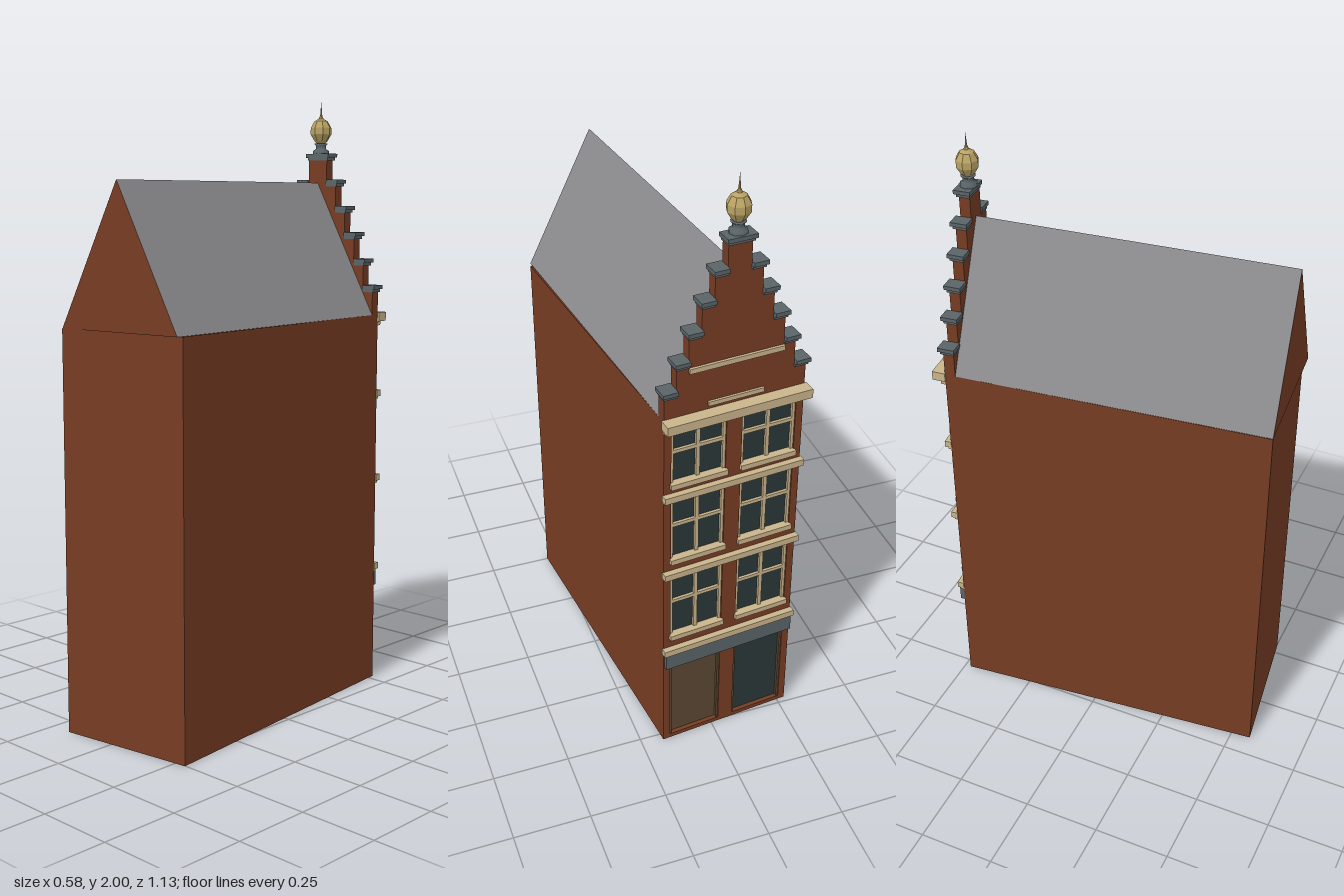
import * as THREE from 'three';

const mat = (name, color, side = THREE.FrontSide) => {
  const m = new THREE.MeshStandardMaterial({ color, side });
  m.name = name;
  return m;
};

export function createModel() {
  const brick = mat('brick', 0x763c23, THREE.DoubleSide);
  const roofGrey = mat('roof grey', 0x8b8b8d, THREE.DoubleSide);
  const slate = mat('slate', 0x5a6468);
  const stone = mat('sandstone', 0xc9b48b);
  const glass = mat('dark glass', 0x2b3739);
  const wood = mat('brown wood', 0x5b4733);
  const gold = mat('gold', 0xb9a263);
  gold.flatShading = true;

  const house = new THREE.Group();
  house.name = 'house';
  const add = (name, geo, material, x = 0, y = 0, z = 0) => {
    const m = new THREE.Mesh(geo, material);
    m.name = name;
    m.position.set(x, y, z);
    house.add(m);
    return m;
  };
  // Box given by its extents
  const box = (name, material, x0, x1, y0, y1, z0, z1) =>
    add(name, new THREE.BoxGeometry(x1 - x0, y1 - y0, z1 - z0), material,
      (x0 + x1) / 2, (y0 + y1) / 2, (z0 + z1) / 2);
  // Flat polygon fan from a few corners
  const panel = (name, material, ...pts) => {
    const g = new THREE.BufferGeometry();
    g.setAttribute('position', new THREE.Float32BufferAttribute(pts.flat(), 3));
    const idx = [];
    for (let i = 1; i < pts.length - 1; i++) idx.push(0, i, i + 1);
    g.setIndex(idx);
    g.computeVertexNormals();
    return add(name, g, material);
  };

  const W = 0.229, EAVE = 1.28, RIDGE = 1.725;
  const FACE = -0.505, INNER = -0.47, REAR = 0.545;

  // Side and rear walls, open underneath
  const plan = [[-W, INNER], [-0.2305, REAR], [0.2355, 0.528], [W, INNER]];
  ['rightWall', 'rearWall', 'leftWall'].forEach((name, i) => {
    const [a, b] = [plan[i], plan[i + 1]];
    panel(name, brick, [a[0], 0, a[1]], [b[0], 0, b[1]], [b[0], EAVE, b[1]], [a[0], EAVE, a[1]]);
  });
  panel('rearGable', brick, [-W, EAVE, REAR], [W, EAVE, REAR], [0, RIDGE, REAR]);

  // Roof slopes
  panel('rightRoof', roofGrey, [-W, EAVE, INNER], [-W, EAVE, REAR], [0, RIDGE, REAR], [0, RIDGE, INNER]);
  panel('leftRoof', roofGrey, [W, EAVE, REAR], [W, EAVE, INNER], [0, RIDGE, INNER], [0, RIDGE, REAR]);

  // Stepped facade with openings
  const halves = [W, 0.19, 0.152, 0.113, 0.075, 0.037];
  const tops = halves.map((_, i) => 1.367 + 0.0888 * i);
  const right = [[W, 0]];
  halves.forEach((h, i) => {
    if (i) right.push([h, tops[i - 1]]);
    right.push([h, tops[i]]);
  });
  const outline = [...right, ...right.map(([x, y]) => [-x, y]).reverse()];
  const facade = new THREE.Shape(outline.map(([x, y]) => new THREE.Vector2(x, y)));
  const rows = [[0.455, 0.69], [0.765, 0.985], [1.05, 1.245]];
  const openings = [[0.015, 0.325], ...rows];
  const IN = 0.026, OUT = 0.205;
  for (const s of [-1, 1]) {
    for (const [y0, y1] of openings) {
      const [a, b] = s > 0 ? [IN, OUT] : [-OUT, -IN];
      facade.holes.push(new THREE.Path([[a, y0], [a, y1], [b, y1], [b, y0]]
        .map(([x, y]) => new THREE.Vector2(x, y))));
    }
  }
  add('facade', new THREE.ExtrudeGeometry(facade, { depth: INNER - FACE, bevelEnabled: false }), brick, 0, 0, FACE);

  for (const s of [-1, 1]) {
    const [a, b] = s > 0 ? [IN, OUT] : [-OUT, -IN];
    const mid = (a + b) / 2;

    // Windows: glass, frame, mullion, transom and sill
    for (const [y0, y1] of rows) {
      const t = 0.009, z0 = FACE + 0.005, z1 = FACE + 0.018, yc = y0 + (y1 - y0) * 0.58;
      box('windowGlass', glass, a, b, y0, y1, FACE + 0.014, FACE + 0.02);
      box('windowFrame', stone, a, a + t, y0, y1, z0, z1);
      box('windowFrame', stone, b - t, b, y0, y1, z0, z1);
      box('windowFrame', stone, a, b, y1 - t, y1, z0, z1);
      box('windowMullion', stone, mid - 0.006, mid + 0.006, y0, y1, z0, z1);
      box('windowTransom', stone, a, b, yc - 0.006, yc + 0.006, z0, z1);
      box('windowSill', stone, a - 0.004, b + 0.004, y0 - 0.012, y0 + 0.006, FACE - 0.012, z1);
    }

    // Ground floor: wooden door on one side, shop window on the other
    const fill = s > 0 ? wood : glass;
    box(s > 0 ? 'door' : 'shopWindow', fill, a, b, 0.015, 0.325, FACE + 0.014, FACE + 0.02);
    for (const x of [a, b - 0.007])
      box('openingFrame', wood, x, x + 0.007, 0.015, 0.325, FACE + 0.004, FACE + 0.018);
  }

  // Horizontal bands, sign board and main cornice
  box('signBoard', slate, -0.226, 0.226, 0.33, 0.387, FACE - 0.016, FACE);
  for (const y of [0.4, 0.715, 1.01]) {
    box('stringCourse', stone, -0.233, 0.233, y - 0.012, y + 0.01, FACE - 0.02, FACE + 0.002);
    box('stringCourseLower', stone, -0.23, 0.23, y - 0.02, y - 0.012, FACE - 0.01, FACE + 0.002);
  }
  box('cornice', stone, -0.236, 0.236, 1.257, 1.287, FACE - 0.041, FACE + 0.002);
  box('corniceLower', stone, -0.23, 0.23, 1.243, 1.257, FACE - 0.016, FACE);
  box('gableBand', stone, -0.152, 0.152, 1.425, 1.441, FACE - 0.009, FACE);
  box('gableSmallBand', stone, -0.09, 0.09, 1.3, 1.314, FACE - 0.008, FACE);

  // Slate coping on every step, in two layers
  halves.forEach((h, i) => {
    const y = tops[i], inner = halves[i + 1] ?? 0;
    for (const s of [-1, 1]) {
      const span = (e) => (s > 0 ? [inner, h + e] : [-h - e, -inner]);
      box('stepCapLower', slate, ...span(0.004), y - 0.01, y, FACE - 0.008, INNER + 0.002);
      box('stepCap', slate, ...span(0.009), y, y + 0.013, FACE - 0.015, INNER + 0.005);
    }
  });

  // Finial: slate pedestal, faceted gold ball and spike
  const zc = (FACE + INNER) / 2, base = tops[5] + 0.013;
  const lathe = (pts, n) => new THREE.LatheGeometry(pts.map(([r, y]) => new THREE.Vector2(r, y)), n);
  add('finialBase', lathe([[0.028, 0], [0.028, 0.009], [0.018, 0.016], [0.018, 0.028], [0.024, 0.034], [0, 0.034]], 8),
    slate, 0, base, zc);
  add('finialBall', lathe([[0.012, 1.856], [0.022, 1.866], [0.036, 1.889], [0.036, 1.911],
    [0.023, 1.934], [0.009, 1.942], [0.005, 1.95], [0.0035, 1.955], [0, 2]], 8), gold, 0, 0, zc);

  // The house stands slightly turned
  house.rotation.y = 0.1;
  const model = new THREE.Group();
  model.name = 'townhouse';
  model.add(house);
  return model;
}
